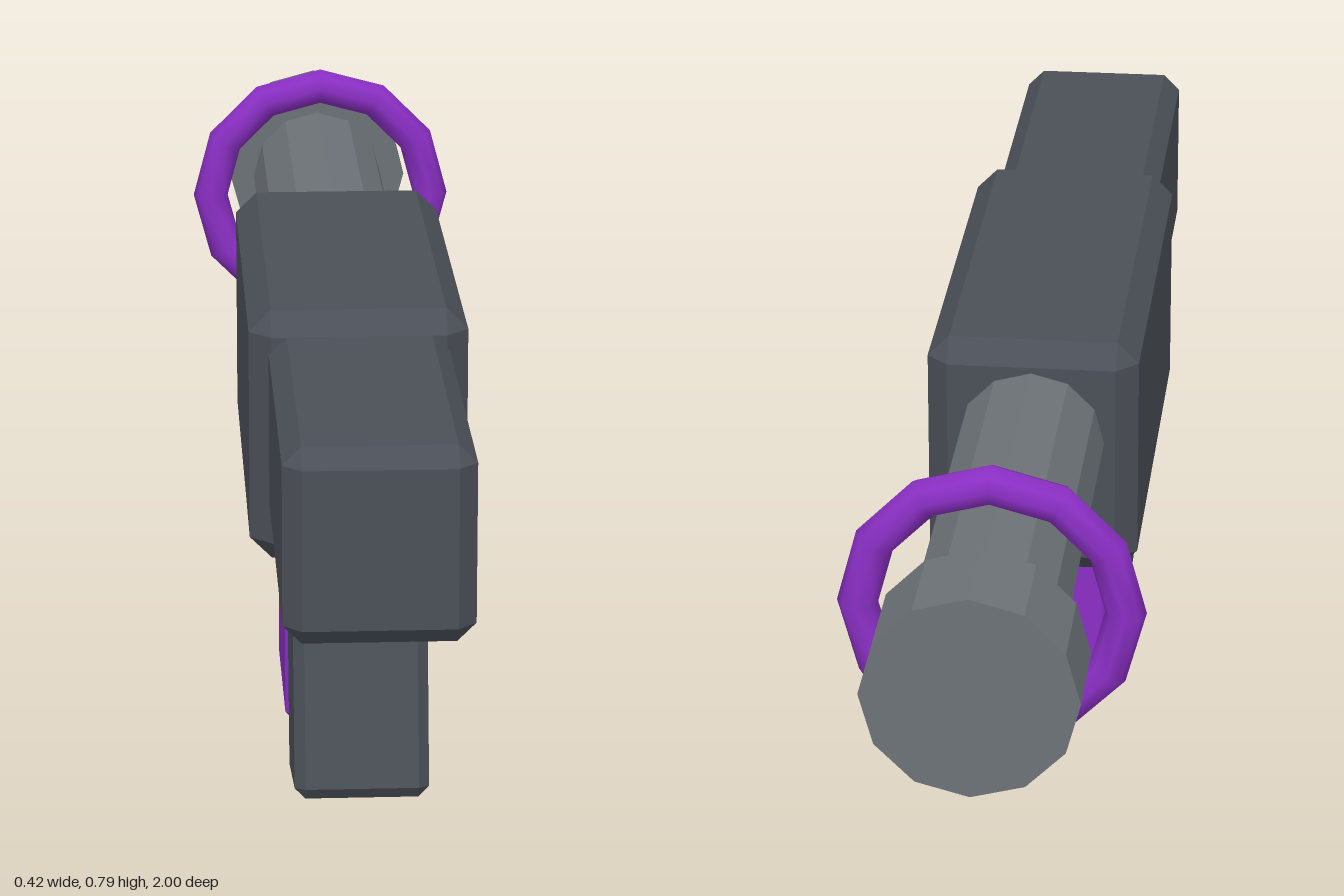
import * as THREE from 'three';
import { ConvexGeometry } from 'three/addons/geometries/ConvexGeometry.js';

const paint = (color, flatShading = true) => new THREE.MeshStandardMaterial({ color, flatShading });
const dark = paint(0x4b5058);
const steel = paint(0x6c7277);
const purple = paint(0x8a2fc4);
const purpleSmooth = paint(0x8a2fc4, false);

// Box whose edges and corners are cut by a bevel b
function bevelBox(w, h, d, b) {
  const points = [];
  for (const sx of [-1, 1]) for (const sy of [-1, 1]) for (const sz of [-1, 1]) {
    for (let face = 0; face < 3; face++) {
      const p = [w / 2, h / 2, d / 2].map((half, axis) => (axis === face ? half : half - b));
      points.push(new THREE.Vector3(p[0] * sx, p[1] * sy, p[2] * sz));
    }
  }
  return new ConvexGeometry(points);
}

export function createModel() {
  const model = new THREE.Group();
  model.name = 'toyBlaster';

  const add = (name, geometry, material, y, z) => {
    const mesh = new THREE.Mesh(geometry, material);
    mesh.name = name;
    mesh.position.set(0, y, z);
    model.add(mesh);
    return mesh;
  };

  // Twelve-sided tube along z
  const tube = (name, radius, zBack, zFront) =>
    add(name, new THREE.CylinderGeometry(radius, radius, zFront - zBack, 12).rotateX(Math.PI / 2),
      steel, 0.59, (zBack + zFront) / 2);

  // Main blocks
  add('body', bevelBox(0.306, 0.363, 0.705, 0.031), dark, 0.554, 0.133);
  add('stock', bevelBox(0.252, 0.268, 0.6, 0.025), dark, 0.571, 0.7);

  // Slanted grip and the magazine behind it
  const grip = add('grip', bevelBox(0.19, 0.46, 0.23, 0.015), dark, 0.253, 0.416);
  grip.rotation.x = -0.21;
  add('magazine', bevelBox(0.198, 0.36, 0.29, 0.017), purple, 0.248, 0.19);

  // Barrel, muzzle and the loose ring around them
  tube('barrel', 0.106, -0.9, -0.15);
  tube('muzzle', 0.145, -1, -0.857);
  add('ring', new THREE.TorusGeometry(0.181, 0.028, 8, 12), purpleSmooth, 0.589, -0.737);

  return model;
}
